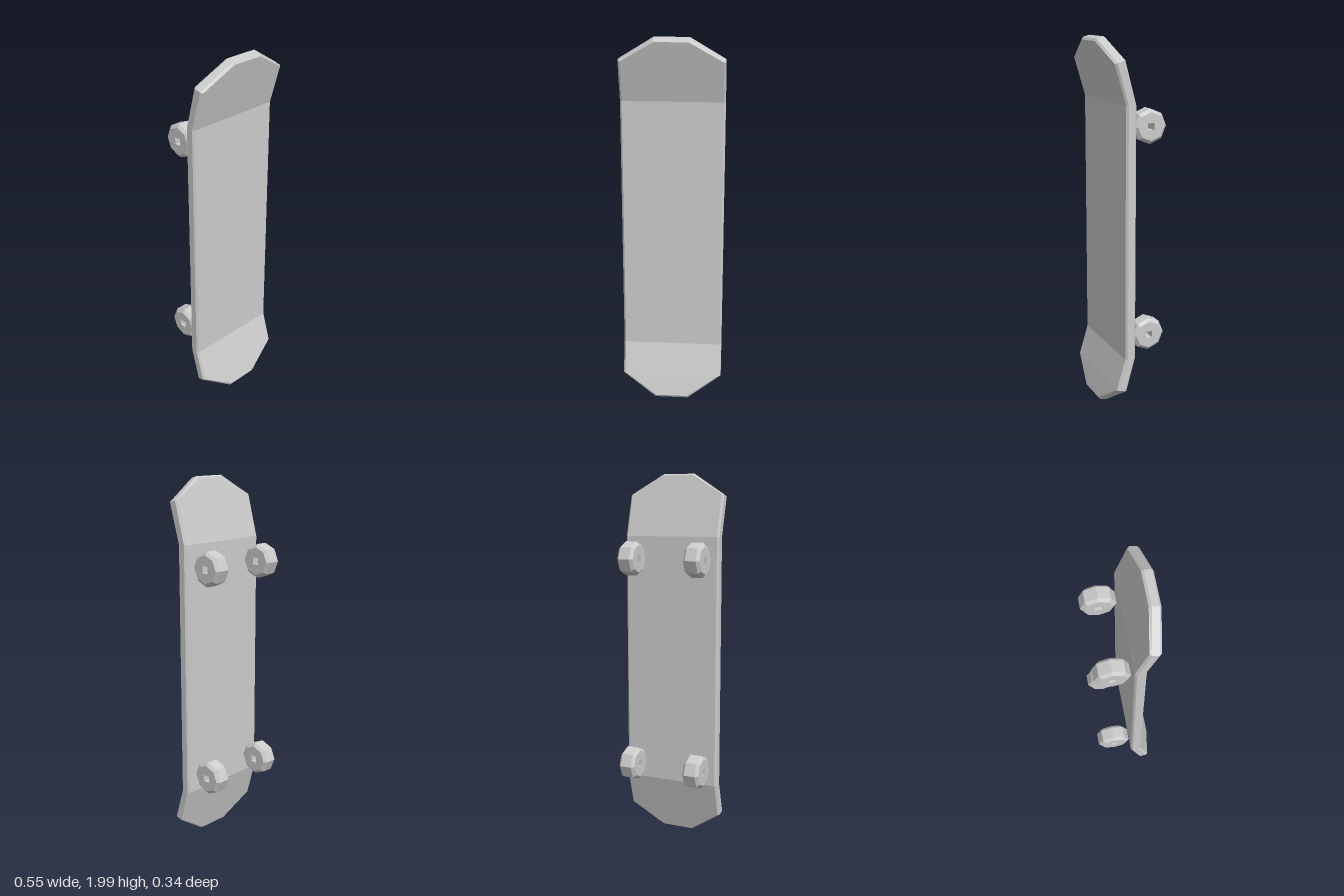
import * as THREE from 'three';

const material = new THREE.MeshStandardMaterial({ color: 0xcccccc, flatShading: true });

// Outline rows from tail to nose: [half width, height]
const ROWS = [[0.09, 0.003], [0.273, 0.13], [0.273, 0.314], [0.273, 1.671], [0.273, 1.893], [0.09, 2.003]];
// Layers from underside to riding face: [depth, bevel inset]
const LAYERS = [[0, 0.01], [0.01, 0], [0.046, 0], [0.057, 0.01]];
const SLOPE = 0.275;

// Bends a flat deck point: nose and tail tilt forward past the bend lines
function bend(x, y, t) {
  const over = Math.max(0, y - 1.671) - Math.max(0, 0.314 - y);
  const blend = Math.sign(over) * Math.min(1, Math.abs(over) / 0.18);
  return [x, y - SLOPE * t * blend, 0.018 + t + SLOPE * Math.abs(over)];
}

function deckGeometry() {
  const n = ROWS.length;
  const rings = LAYERS.map(([t, inset]) => {
    const side = (s) => ROWS.map(([w, y], i) => {
      const isEnd = i === 0 || i === n - 1;
      const dy = isEnd ? Math.sign(1 - y) * inset : 0;
      return bend(s * (w - inset * (isEnd ? 0.3 : 1)), y + dy, t);
    });
    return [...side(1), ...side(-1).reverse()];
  });
  const pos = [];
  const quad = (a, b, c, d) => pos.push(...a, ...b, ...c, ...a, ...c, ...d);
  // Bevelled rim
  for (let k = 0; k < rings.length - 1; k++) {
    for (let i = 0; i < 2 * n; i++) {
      const j = (i + 1) % (2 * n);
      quad(rings[k][i], rings[k][j], rings[k + 1][j], rings[k + 1][i]);
    }
  }
  // Riding face and underside
  const back = rings[0], front = rings[rings.length - 1];
  for (let i = 0; i < n - 1; i++) {
    const l = 2 * n - 1 - i;
    quad(front[i], front[i + 1], front[l - 1], front[l]);
    quad(back[l], back[l - 1], back[i + 1], back[i]);
  }
  const geo = new THREE.BufferGeometry();
  geo.setAttribute('position', new THREE.Float32BufferAttribute(pos, 3));
  geo.computeVertexNormals();
  return geo;
}

// Eight-sided bevelled wheel with a square axle hole, axis along x
function wheelGeometry() {
  const profile = [[0.018, -0.046], [0.074, -0.046], [0.091, -0.031], [0.091, 0.031],
    [0.074, 0.046], [0.018, 0.046], [0.018, -0.046]].map(([r, y]) => new THREE.Vector2(r, y));
  let geo = new THREE.LatheGeometry(profile, 8);
  const p = geo.attributes.position;
  // Push the diagonal hole corners out to make it square
  for (let i = 0; i < p.count; i++) {
    const x = p.getX(i), z = p.getZ(i);
    if (Math.hypot(x, z) < 0.03 && Math.abs(x * z) > 1e-5) {
      p.setX(i, Math.sign(x) * 0.018);
      p.setZ(i, Math.sign(z) * 0.018);
    }
  }
  geo = geo.toNonIndexed();
  geo.rotateZ(-Math.PI / 2);
  geo.computeVertexNormals();
  return geo;
}

export function createModel() {
  const model = new THREE.Group();
  model.name = 'skateboard';

  const deck = new THREE.Mesh(deckGeometry(), material);
  deck.name = 'deck';
  model.add(deck);

  // Four wheels behind the deck
  const wheelGeo = wheelGeometry();
  for (const [end, y] of [['tail', 0.42], ['nose', 1.555]]) {
    for (const [side, x] of [['Left', 0.188], ['Right', -0.194]]) {
      const wheel = new THREE.Mesh(wheelGeo, material);
      wheel.name = `${end}${side}Wheel`;
      wheel.position.set(x, y, -0.081);
      model.add(wheel);
    }
  }
  return model;
}
